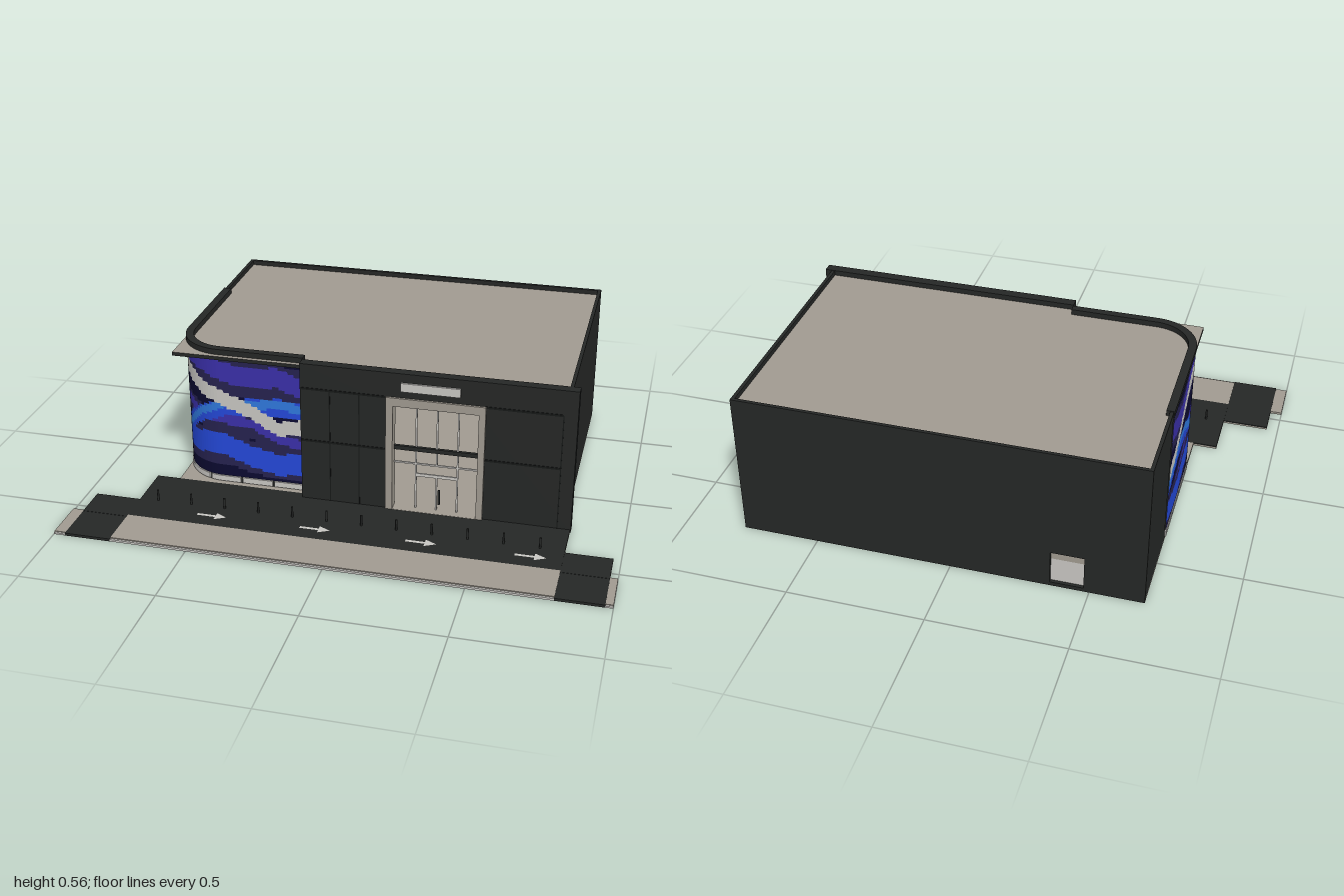
import * as THREE from 'three';

const mat = (name, color) => {
  const m = new THREE.MeshStandardMaterial({ color });
  m.name = name;
  return m;
};

export function createModel() {
  const M = {
    charcoal: mat('charcoal', 0x252726), taupe: mat('taupe', 0xa09a90), white: mat('offWhite', 0xc8c6c2),
    navy: mat('navy', 0x0b0a30), indigo: mat('indigo', 0x26224f), violet: mat('violet', 0x3a2fa8),
    blue: mat('blue', 0x2448d8), sky: mat('skyBlue', 0x2f78dc), seam: mat('black', 0x161817),
  };
  const root = new THREE.Group();
  root.name = 'storeBuilding';
  const add = (name, geo, m) => {
    const mesh = new THREE.Mesh(geo, m);
    mesh.name = name;
    root.add(mesh);
    return mesh;
  };
  // box from its min and max corners
  const box = (name, m, x0, x1, y0, y1, z0, z1) => {
    const mesh = add(name, new THREE.BoxGeometry(x1 - x0, y1 - y0, z1 - z0), m);
    mesh.position.set((x0 + x1) / 2, (y0 + y1) / 2, (z0 + z1) / 2);
    return mesh;
  };
  // upright wall plate with one rectangular hole
  const holedWall = (name, m, [x0, x1, y0, y1], [a, b, c, d], z0, z1) => {
    const rect = (C, l, r, bt, t) => new C().moveTo(l, bt).lineTo(r, bt).lineTo(r, t).lineTo(l, t).closePath();
    const s = rect(THREE.Shape, x0, x1, y0, y1);
    s.holes.push(rect(THREE.Path, a, b, c, d));
    const g = new THREE.ExtrudeGeometry(s, { depth: z1 - z0, bevelEnabled: false });
    g.translate(0, 0, z0);
    return add(name, g, m);
  };

  // Plan path of the rounded corner wall, from the side to the front
  const X = -0.695, Z = 0.215, R = 0.17, ZS = -0.37, XE = -0.2;
  const L1 = Z - R - ZS, L2 = R * Math.PI / 2, L = L1 + L2 + (XE - X - R);
  const at = (s, off) => {
    if (s < L1) return [X + off, ZS + s];
    if (s > L1 + L2) return [X + R + s - L1 - L2, Z - off];
    const t = (s - L1) / R;
    return [X + R - (R - off) * Math.cos(t), Z - R + (R - off) * Math.sin(t)];
  };
  const curvedWall = (name, m, s0, s1, o0, o1, y0, y1, n = 48) => {
    const pts = [];
    for (let i = 0; i <= n; i++) pts.push(at(s0 + (s1 - s0) * i / n, o0));
    for (let i = n; i >= 0; i--) pts.push(at(s0 + (s1 - s0) * i / n, o1));
    const g = new THREE.ExtrudeGeometry(new THREE.Shape(pts.map(([x, z]) => new THREE.Vector2(x, -z))),
      { depth: y1 - y0, bevelEnabled: false });
    g.rotateX(-Math.PI / 2);
    g.translate(0, y0, 0);
    return add(name, g, m);
  };

  // Building shell
  box('floorSlab', M.taupe, X, 0.78, 0, 0.012, -0.7, 0.235);
  box('roof', [M.charcoal, M.charcoal, M.taupe, M.charcoal, M.charcoal, M.charcoal], X, 0.775, 0.528, 0.542, -0.705, 0.235);
  box('leftWall', M.charcoal, X, -0.682, 0, 0.56, -0.715, ZS);
  box('rightWall', M.charcoal, 0.767, 0.78, 0, 0.56, -0.715, 0.24);
  holedWall('backWall', M.charcoal, [X, 0.78, 0, 0.56], [-0.48, -0.36, 0.015, 0.145], -0.715, -0.702);
  box('serviceHatch', M.white, -0.48, -0.36, 0.012, 0.11, -0.702, -0.695);
  box('serviceHatchHeader', M.taupe, -0.48, -0.36, 0.11, 0.15, -0.702, -0.695);
  curvedWall('curvedWall', M.charcoal, 0, L, 0.002, 0.026, 0.012, 0.562);
  curvedWall('parapetBand', M.charcoal, 0, L, -0.004, 0.026, 0.54, 0.563);
  for (let i = 0; i < 8; i++)
    curvedWall('baseLight', M.white, L * i / 8 + 0.004, L * (i + 1) / 8 - 0.004, -0.005, 0.004, 0.016, 0.038, 12);

  // Mural: stepped waves, each band given by heights along the wall
  const bands = [
    ['indigo', 0.075, [.47, .44, .42, .46, .5, .51, .49, .45, .45, .45, .43]],
    ['violet', 0.04, [.47, .44, .43, .47, .51, .52, .51, .47, .46, .47, .43]],
    ['indigo', 0.045, [.15, .14, .16, .2, .28, .32, .28, .27, .25, .22, .21]],
    ['violet', 0.02, [.15, .14, .16, .2, .3, .33, .28, .28, .27, .22, .2]],
    ['indigo', 0.07, [.12, .10, .09, .12, .15, .16, .16, .16, .13, .12, .12]],
    ['blue', 0.045, [.12, .10, .09, .12, .14, .16, .17, .17, .13, .11, .12]],
    ['blue', 0.035, [.23, .26, .28, .28, .25, .22, .29, .33, .34, .35, .34]],
    ['sky', 0.018, [.24, .27, .30, .30, .25, .21, .30, .35, .35, .36, .35]],
    ['white', 0.03, [.29, .31, .36, .43, .48, .46, .40, .36, .32, .26, .28]],
  ];
  const heightAt = (v, u) => {
    const i = Math.min(9, Math.floor(u * 10));
    return THREE.MathUtils.lerp(v[i], v[i + 1], u * 10 - i);
  };
  const colourAt = (u, y) => {
    let c = 'navy';
    for (const [name, half, v] of bands) if (Math.abs(y - heightAt(v, u)) < half) c = name;
    return c;
  };
  const cols = 84, rows = 44, Y0 = 0.04, Y1 = 0.535;
  const tiles = {};
  for (let i = 0; i < cols; i++) {
    const a = at(L * i / cols, -0.002), b = at(L * (i + 1) / cols, -0.002);
    const yAt = (j) => Y0 + (Y1 - Y0) * j / rows;
    for (let j = 0, k; j < rows; j = k) {
      const c = colourAt((i + 0.5) / cols, yAt(j + 0.5));
      for (k = j + 1; k < rows && colourAt((i + 0.5) / cols, yAt(k + 0.5)) === c;) k++;
      const p = [a[0], yAt(j), a[1]], q = [b[0], yAt(j), b[1]];
      const r = [b[0], yAt(k), b[1]], t = [a[0], yAt(k), a[1]];
      (tiles[c] ??= []).push(...p, ...q, ...r, ...p, ...r, ...t);
    }
  }
  for (const c in tiles) {
    const g = new THREE.BufferGeometry();
    g.setAttribute('position', new THREE.Float32BufferAttribute(tiles[c], 3));
    g.computeVertexNormals();
    add(c + 'MuralTiles', g, M[c]);
  }

  // Front facade with panel seams
  holedWall('facade', M.charcoal, [-0.2, 0.805, 0, 0.562], [0.145, 0.46, 0.012, 0.435], 0.225, 0.263);
  for (const [x0, x1] of [[-0.2, 0.12], [0.48, 0.755]])
    for (const y of [0.255, 0.465]) box('facadeSeam', M.seam, x0, x1, y - 0.004, y + 0.004, 0.26, 0.265);
  for (const x of [-0.09, 0.02, 0.755]) box('facadeSeam', M.seam, x - 0.002, x + 0.002, 0.012, 0.465, 0.26, 0.2645);
  box('signPanel', M.white, 0.175, 0.39, 0.495, 0.528, 0.26, 0.271);

  // Entrance portal, mullions and door
  holedWall('entranceFrame', M.taupe, [0.12, 0.482, 0.012, 0.468], [0.146, 0.458, 0.011 + 0.002, 0.435], 0.225, 0.272);
  for (const x of [0.228, 0.305, 0.382]) box('windowMullion', M.white, x - 0.003, x + 0.003, 0.2, 0.435, 0.236, 0.242);
  box('transomBar', M.charcoal, 0.146, 0.458, 0.25, 0.266, 0.234, 0.246);
  box('windowRail', M.white, 0.146, 0.458, 0.194, 0.2, 0.236, 0.242);
  for (const x of [0.228, 0.382]) box('doorPost', M.white, x - 0.003, x + 0.003, 0.012, 0.2, 0.236, 0.242);
  box('doorRail', M.white, 0.228, 0.382, 0.146, 0.158, 0.236, 0.242);
  box('doorMeetingStile', M.white, 0.302, 0.308, 0.012, 0.15, 0.236, 0.242);
  box('doorHandle', M.charcoal, 0.312, 0.32, 0.04, 0.1, 0.242, 0.248);

  // Forecourt, road wings and pavements
  box('forecourtBase', M.taupe, -0.785, 0.803, 0.001, 0.008, 0.235, 0.545);
  box('forecourt', M.charcoal, -0.785, 0.803, 0.008, 0.012, 0.235, 0.54);
  box('pavement', M.taupe, -0.785, 0.803, 0.001, 0.012, 0.54, 0.705);
  box('kerb', M.white, -0.785, 0.803, 0, 0.008, 0.705, 0.713);
  for (const [x0, x1, e0, e1] of [[-0.957, -0.785, -1, -0.957], [0.803, 0.973, 0.973, 1]]) {
    box('wingBase', M.taupe, x0, x1, 0.001, 0.007, 0.42, 0.55);
    box('wing', M.charcoal, x0, x1, 0.007, 0.011, 0.42, 0.55);
    box('wingRamp', M.charcoal, x0, x1, 0, 0.01, 0.55, 0.713);
    box('outerPavement', M.taupe, e0, e1, 0, 0.009, 0.54, 0.705);
    box('outerKerb', M.white, e0, e1, 0, 0.006, 0.705, 0.713);
  }

  // Painted direction arrows
  const arrow = new THREE.Shape([[-0.055, -0.006], [0.015, -0.006], [0.015, -0.022], [0.057, 0],
    [0.015, 0.022], [0.015, 0.006], [-0.055, 0.006]].map(([x, y]) => new THREE.Vector2(x, y)));
  const arrowGeo = new THREE.ShapeGeometry(arrow).rotateX(-Math.PI / 2);
  for (let i = 0; i < 4; i++) add('roadArrow', arrowGeo, M.white).position.set(-0.484 + 0.391 * i, 0.0135, 0.477);

  // Bollards
  const post = new THREE.CylinderGeometry(0.004, 0.004, 0.043, 10);
  for (let i = 0; i < 12; i++) add('bollard', post, M.charcoal).position.set(-0.715 + 0.13 * i, 0.033, 0.412);

  return root;
}
